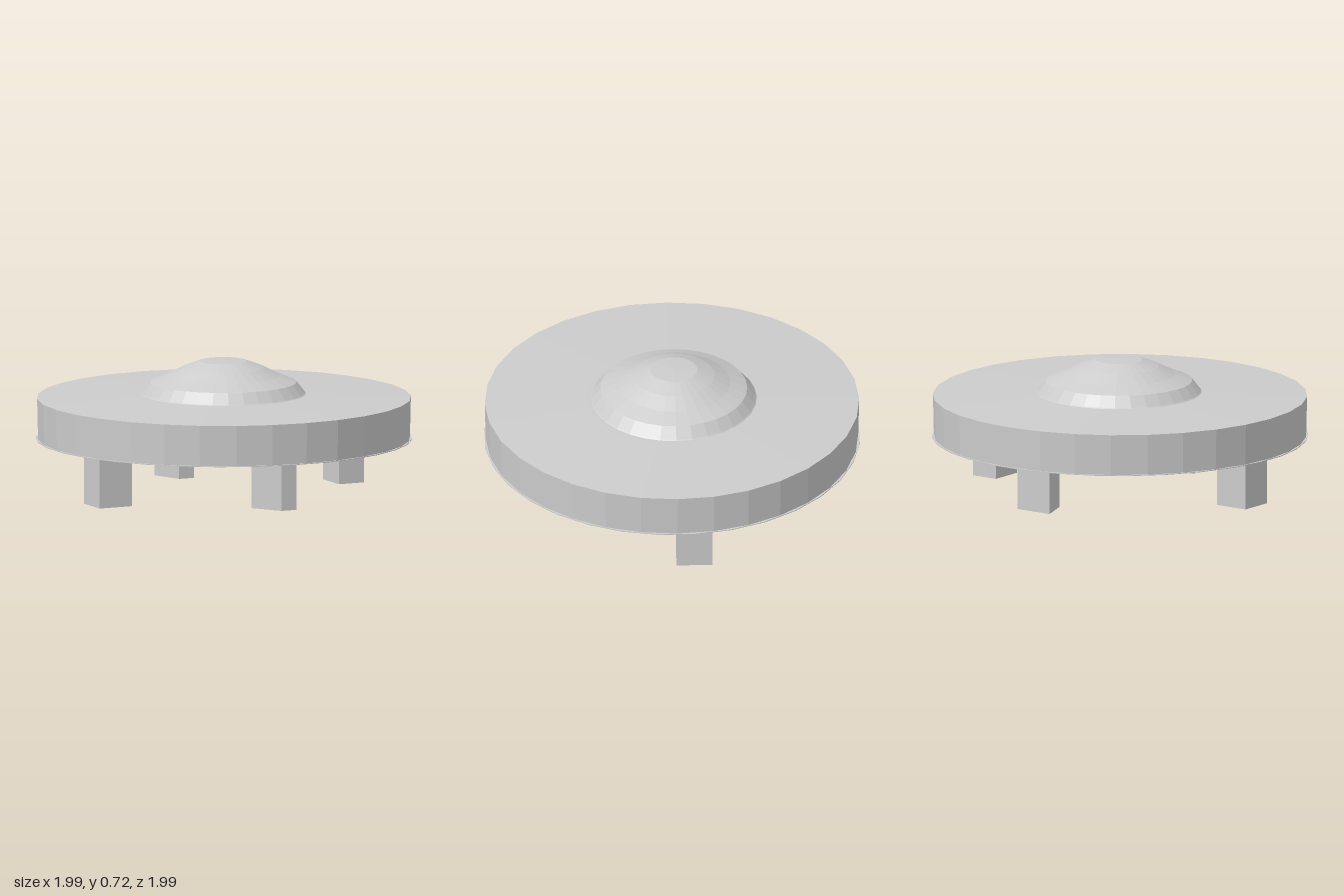
import * as THREE from 'three';

const material = new THREE.MeshStandardMaterial({ color: 0xcccccc, flatShading: true });

// Faceted solid of revolution; profile is [radius, height] from bottom to top
function turned(name, profile, segments = 32) {
  const points = profile.map(([r, y]) => new THREE.Vector2(r, y));
  const mesh = new THREE.Mesh(new THREE.LatheGeometry(points, segments), material);
  mesh.name = name;
  return mesh;
}

// Vertical prism from a footprint of [x, z] corners
function leg(name, footprint, height) {
  const shape = new THREE.Shape(footprint.map(([x, z]) => new THREE.Vector2(x, -z)));
  const geometry = new THREE.ExtrudeGeometry(shape, { depth: height, bevelEnabled: false });
  geometry.rotateX(-Math.PI / 2);
  const mesh = new THREE.Mesh(geometry, material);
  mesh.name = name;
  return mesh;
}

export function createModel() {
  const model = new THREE.Group();
  model.name = 'saucer';

  // Broad disc with a very shallow conical top
  model.add(turned('body', [[0.99, 0.297], [0.995, 0.515], [0.45, 0.535], [0, 0.535]]));

  // Thin plate closing the underside, turned half a facet
  const base = turned('basePlate', [[0, 0.294], [1, 0.294], [1, 0.298], [0.98, 0.298]]);
  base.rotation.y = Math.PI / 32;
  model.add(base);

  // Stepped dome
  const dome = turned('dome', [
    [0.455, 0.522], [0.435, 0.54], [0.39, 0.597], [0.3, 0.633],
    [0.215, 0.677], [0.125, 0.71], [0, 0.716],
  ]);
  dome.position.z = -0.01;
  model.add(dome);

  // Four legs: two square blocks at the sides, two tapered ones front and back
  const footprints = {
    leftLeg: [[0.68, 0], [0.83, 0], [0.83, -0.19], [0.68, -0.19]],
    rightLeg: [[-0.83, 0.19], [-0.64, 0.19], [-0.64, 0], [-0.83, 0]],
    frontLeg: [[0, 0.69], [0.09, 0.69], [0.16, 0.53], [-0.1, 0.53]],
    backLeg: [[0, -0.54], [0.09, -0.54], [0.15, -0.71], [-0.06, -0.71]],
  };
  for (const [name, footprint] of Object.entries(footprints)) model.add(leg(name, footprint, 0.3));

  return model;
}
